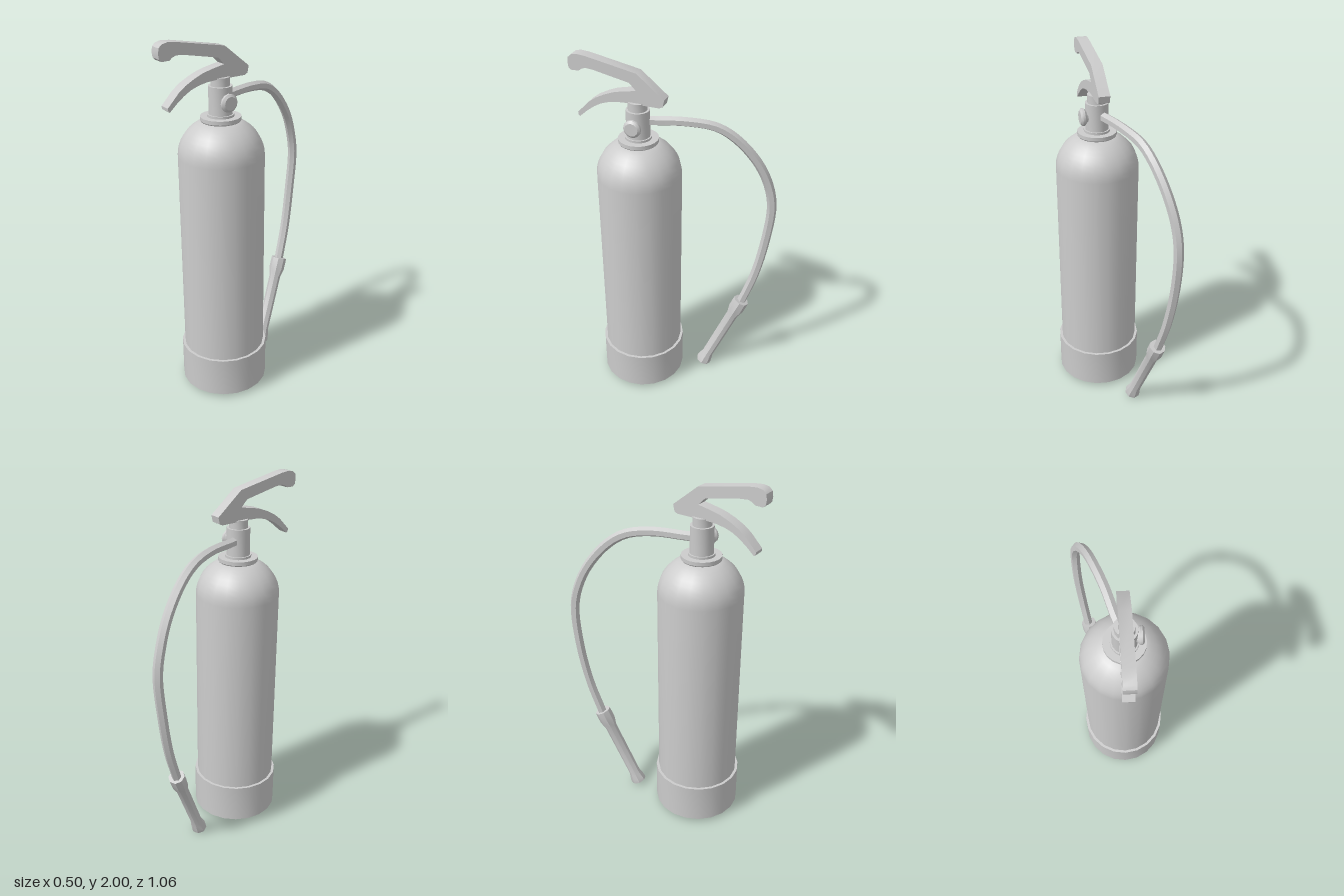
import * as THREE from 'three';
import { toCreasedNormals } from 'three/addons/utils/BufferGeometryUtils.js';

const AXIS_X = 0.01, AXIS_Z = 0.17;
const material = new THREE.MeshStandardMaterial({ color: 0xcccccc });

function addPart(parent, name, geometry, crease = 0.6) {
  const mesh = new THREE.Mesh(toCreasedNormals(geometry, crease), material);
  mesh.name = name;
  parent.add(mesh);
  return mesh;
}

// Lathe from [radius, height] pairs, bottom to top
function turned(points, sides) {
  return new THREE.LatheGeometry(points.map(([r, y]) => new THREE.Vector2(r, y)), sides);
}

// Extrudes a [z, y] outline across the width of the handle
function sidePlate(points) {
  const shape = new THREE.Shape(points.map(([z, y]) => new THREE.Vector2(z, y)));
  const geometry = new THREE.ExtrudeGeometry(shape, { depth: 0.06, bevelEnabled: false });
  return geometry.rotateY(-Math.PI / 2).translate(AXIS_X + 0.03, 0, 0);
}

export function createModel() {
  const model = new THREE.Group();
  model.name = 'fireExtinguisher';

  // Cylinder, base and valve share one vertical axis
  const body = new THREE.Group();
  body.name = 'body';
  body.position.set(AXIS_X, 0, AXIS_Z);
  model.add(body);

  const tank = [[0, 0.04], [0.226, 0.04], [0.226, 1.38]];
  for (let i = 1; i <= 8; i++) {
    const t = (i / 8) * 1.1;
    tank.push([0.226 * Math.cos(t), 1.38 + 0.205 * Math.sin(t)]);
  }
  tank.push([0, 1.563]);
  addPart(body, 'tank', turned(tank, 20));
  addPart(body, 'baseRing', turned([[0, 0.025], [0.232, 0.025], [0.234, 0.02], [0.241, 0.02],
    [0.241, 0.245], [0.222, 0.245]], 20));
  addPart(body, 'collar', turned([[0, 1.55], [0.092, 1.55], [0.106, 1.568], [0.106, 1.588],
    [0.07, 1.588], [0.07, 1.6], [0, 1.6]], 20));
  addPart(body, 'valve', turned([[0, 1.59], [0.062, 1.59], [0.062, 1.745], [0.05, 1.745],
    [0.05, 1.79], [0, 1.79]], 16));

  // Pressure gauge on the left side of the valve
  const gauge = addPart(body, 'gauge', turned([[0, 0.04], [0.03, 0.04], [0.034, 0.058],
    [0.047, 0.07], [0.047, 0.082], [0.035, 0.092], [0, 0.092]], 12));
  gauge.rotation.z = -Math.PI / 2;
  gauge.position.y = 1.67;

  // Carrying handle and squeeze lever
  addPart(model, 'handle', sidePlate([[0.016, 1.828], [0.024, 1.792], [0.042, 1.783],
    [0.19, 1.783], [0.164, 1.855], [0.2, 1.892], [0.39, 1.93], [0.435, 1.934], [0.456, 1.926],
    [0.472, 1.914], [0.513, 1.913], [0.526, 1.925], [0.53, 1.95], [0.526, 1.978],
    [0.51, 1.993], [0.48, 2], [0.434, 1.996], [0.16, 1.945]]));
  addPart(model, 'lever', sidePlate([[0.13, 1.855], [0.164, 1.855], [0.243, 1.84], [0.29, 1.828],
    [0.34, 1.808], [0.39, 1.782], [0.43, 1.752], [0.492, 1.688], [0.49, 1.672], [0.482, 1.666],
    [0.44, 1.703], [0.4, 1.733], [0.36, 1.756], [0.32, 1.77], [0.27, 1.78], [0.217, 1.783],
    [0.13, 1.783]]));

  // Hose arching out behind and down to the nozzle
  const path = new THREE.CatmullRomCurve3([
    [0, 1.68, 0.15], [-0.02, 1.68, 0.1], [-0.07, 1.68, -0.074], [-0.117, 1.653, -0.21],
    [-0.15, 1.585, -0.31], [-0.19, 1.447, -0.42], [-0.215, 1.31, -0.48], [-0.223, 1.18, -0.505],
    [-0.222, 0.945, -0.487], [-0.205, 0.706, -0.445], [-0.182, 0.5, -0.383],
  ].map((p) => new THREE.Vector3(...p)));
  addPart(model, 'hose', new THREE.TubeGeometry(path, 40, 0.026, 6));

  // Discharge nozzle, flared at both ends
  const tip = new THREE.Vector3(-0.105, 0.018, -0.185);
  const top = new THREE.Vector3(-0.18, 0.51, -0.385);
  const length = tip.distanceTo(top);
  const nozzle = addPart(model, 'nozzle', turned([[0, 0.02], [0.03, 0], [0.044, 0], [0.044, 0.02],
    [0.033, 0.07], [0.034, length - 0.12], [0.046, length - 0.07], [0.046, length], [0, length]], 8));
  nozzle.position.copy(tip);
  nozzle.quaternion.setFromUnitVectors(new THREE.Vector3(0, 1, 0), top.clone().sub(tip).normalize());

  return model;
}
